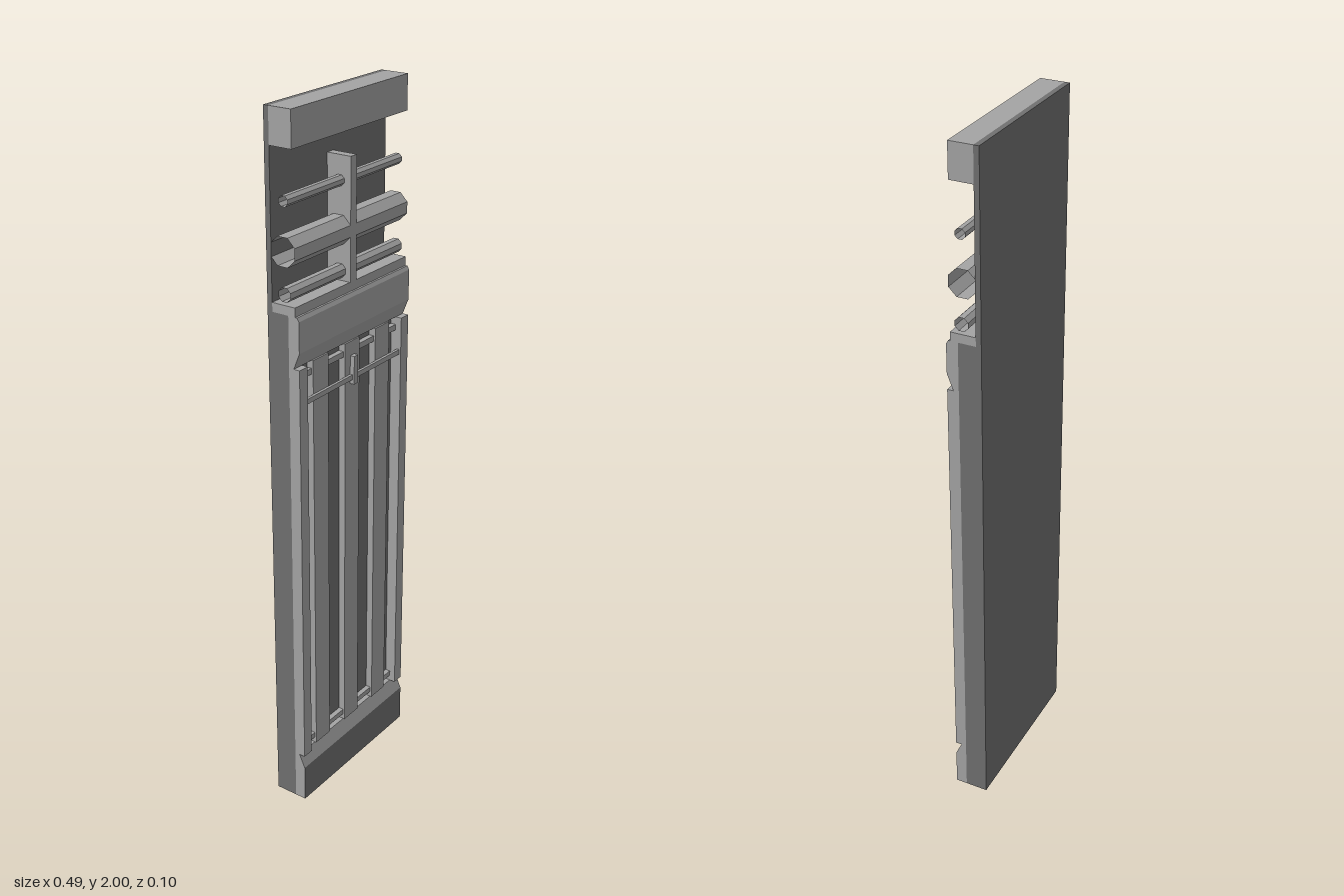
import * as THREE from 'three';

export function createModel() {
  const model = new THREE.Group();
  model.name = 'wallPanel';
  const light = new THREE.MeshStandardMaterial({ color: 0xa4a4a4, side: THREE.DoubleSide });
  light.name = 'lightGrey';
  const dark = new THREE.MeshStandardMaterial({ color: 0x707070, side: THREE.DoubleSide });
  dark.name = 'darkGrey';
  const HALF = 0.247;

  const add = (name, geometry, material) => {
    const mesh = new THREE.Mesh(geometry, material);
    mesh.name = name;
    model.add(mesh);
    return mesh;
  };
  // Box given by its limits on each axis
  const box = (name, material, x0, x1, y0, y1, z0, z1) => {
    const g = new THREE.BoxGeometry(x1 - x0, y1 - y0, z1 - z0);
    g.translate((x0 + x1) / 2, (y0 + y1) / 2, (z0 + z1) / 2);
    return add(name, g, material);
  };
  // Profile of [z, y] points swept across the full width
  const sweep = (name, material, points) => {
    const shape = new THREE.Shape(points.map(([z, y]) => new THREE.Vector2(z, y)));
    const g = new THREE.ExtrudeGeometry(shape, { depth: HALF * 2, bevelEnabled: false });
    g.rotateY(-Math.PI / 2).translate(HALF, 0, 0);
    return add(name, g, material);
  };
  // Open eight-sided pipe along x
  const pipe = (name, y, z, r) => {
    const c = new THREE.CylinderGeometry(r, r, HALF * 2, 8, 1, true, Math.PI / 8).rotateZ(Math.PI / 2);
    const g = c.toNonIndexed();
    g.computeVertexNormals();
    g.translate(0, y, z);
    return add(name, g, light);
  };

  // Backing: thick below, thin behind the pipes
  box('lowerBacking', dark, -HALF, HALF, 0, 1.485, -0.05, 0.015);
  box('upperBacking', dark, -HALF, HALF, 1.485, 2, -0.05, -0.035);

  // Top beam, pipes and their centre bracket
  box('topBeam', light, -HALF, HALF, 1.905, 2, -0.035, 0.032);
  pipe('upperPipe', 1.775, 0.004, 0.015);
  pipe('middlePipe', 1.647, 0.0, 0.041);
  pipe('lowerPipe', 1.537, 0.004, 0.02);
  box('pipeBracket', light, -0.013, 0.013, 1.51, 1.84, -0.035, 0.038);

  // Ledge and sloped header
  box('ledge', light, -HALF, HALF, 1.485, 1.51, -0.035, 0.036);
  sweep('header', light, [
    [0.015, 1.345], [0.03, 1.345], [0.048, 1.39], [0.048, 1.475], [0.042, 1.485], [0.015, 1.485],
  ]);

  // Base with a dark face and a sloped light top
  box('base', [light, light, light, dark, dark, dark], -HALF, HALF, 0, 0.11, 0.015, 0.048);
  sweep('baseSlope', light, [[0.015, 0.11], [0.048, 0.11], [0.03, 0.15], [0.015, 0.15]]);

  // Vertical slats and edge posts
  for (const s of [-1, 1]) {
    const edges = [s * 0.213, s * HALF].sort((a, b) => a - b);
    box('edgePost', light, edges[0], edges[1], 0.15, 1.345, 0.015, 0.048);
  }
  for (const x of [-0.14, 0, 0.14]) {
    box('slat', light, x - 0.033, x + 0.033, 0.15, 1.345, 0.015, 0.035);
  }

  // Cross bars behind the slats, handle rail and latch in front
  for (const y of [0.175, 1.315]) {
    box('crossBar', light, -0.213, 0.213, y - 0.008, y + 0.008, 0.015, 0.03);
  }
  box('handleRail', light, -0.213, 0.213, 1.238, 1.252, 0.035, 0.043);
  box('latch', light, -0.009, 0.009, 1.225, 1.305, 0.035, 0.048);

  return model;
}
